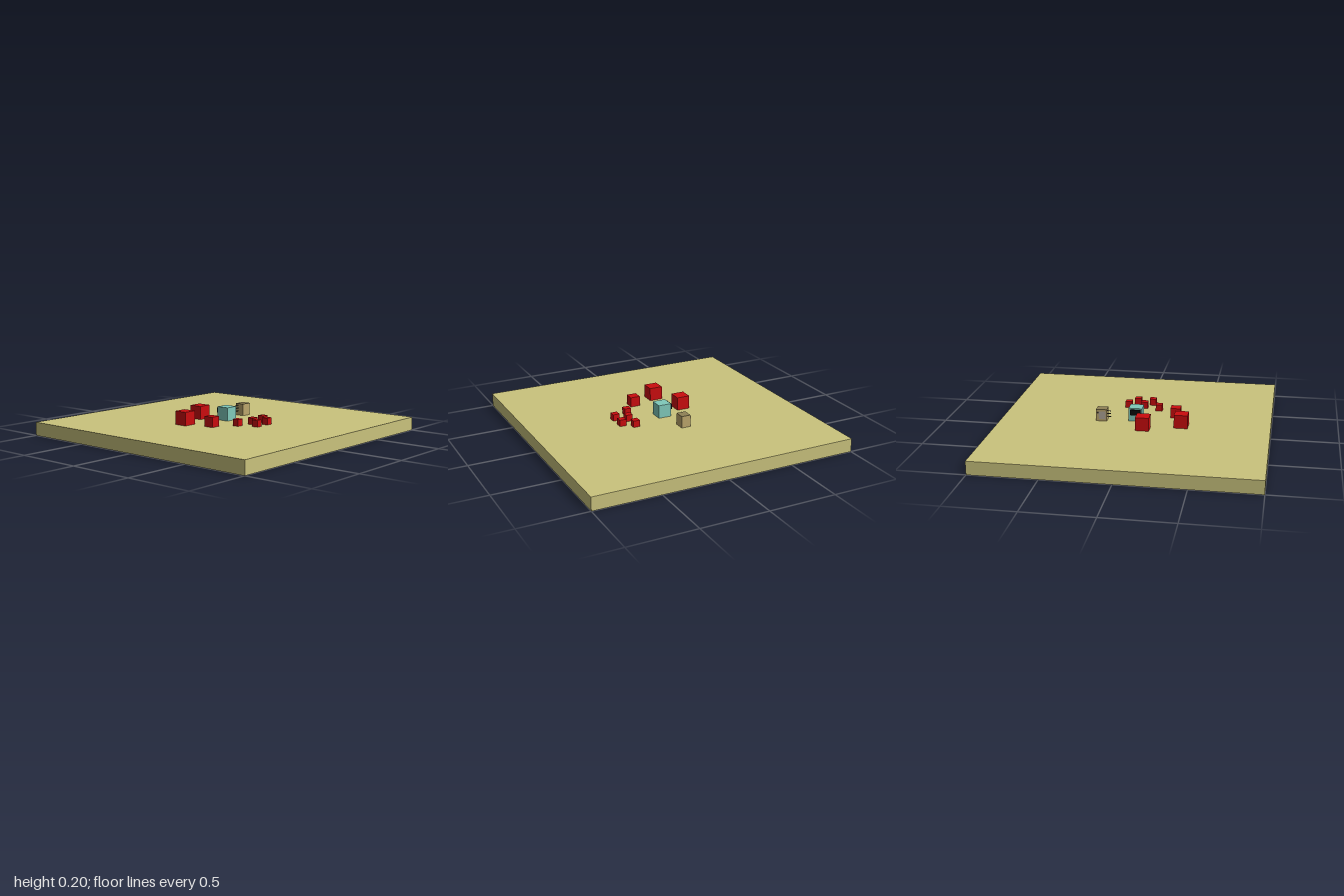
import * as THREE from 'three';

const material = (color) => new THREE.MeshStandardMaterial({ color });
const sand = material(0xcac37d), red = material(0xcb0c0e), teal = material(0x80cabb);
const black = material(0x080808), tan = material(0xbca66c), brown = material(0x8f8156);
const grey = material(0xb0a698), dark = material(0x4a4436);

const GROUND = 0.1; // height of the slab's top

export function createModel() {
  const model = new THREE.Group();

  // Box given by its centre in plan, its underside and its size
  const box = (name, mat, x, y, z, w, h, d, parent = model) => {
    const mesh = new THREE.Mesh(new THREE.BoxGeometry(w, h, d), mat);
    mesh.name = name;
    mesh.position.set(x, y + h / 2, z);
    parent.add(mesh);
    return mesh;
  };

  box('groundSlab', sand, 0, 0, 0, 2, GROUND, 2);

  // Red cubes: x, z, size
  [
    [-0.35, -0.1, 0.1], [-0.08, -0.197, 0.1], [-0.285, 0.102, 0.075],
    [-0.142, 0.225, 0.05], [-0.023, 0.268, 0.05], [0.099, 0.267, 0.05],
    [-0.077, 0.35, 0.05], [0.04, 0.349, 0.05],
  ].forEach(([x, z, s], i) => box(`redCube${i + 1}`, red, x, GROUND, z, s, s, s));

  // Teal cube with a dark panel on its back
  const screenCube = new THREE.Group();
  screenCube.name = 'screenCube';
  model.add(screenCube);
  box('cubeBody', teal, 0, GROUND, 0, 0.1, 0.1, 0.1, screenCube);
  box('backPanel', black, 0, 0.15, -0.057, 0.075, 0.04, 0.014, screenCube);

  // Tan cabinet with a darker top, a pale door, a knob and side pegs
  const cabinet = new THREE.Group();
  cabinet.name = 'cabinet';
  cabinet.position.set(0.25, GROUND, -0.05);
  model.add(cabinet);
  box('cabinetBody', tan, 0, 0, 0, 0.08, 0.086, 0.07, cabinet);
  box('cabinetTop', brown, 0, 0.086, 0, 0.08, 0.004, 0.07, cabinet);
  box('cabinetDoor', grey, -0.005, 0.015, -0.0355, 0.05, 0.06, 0.003, cabinet);
  box('doorKnob', dark, 0.026, 0.06, -0.04, 0.012, 0.01, 0.01, cabinet);
  for (const y of [0.03, 0.052, 0.074]) {
    box('sidePeg', dark, -0.055, y, -0.015, 0.03, 0.005, 0.006, cabinet);
  }
  return model;
}
